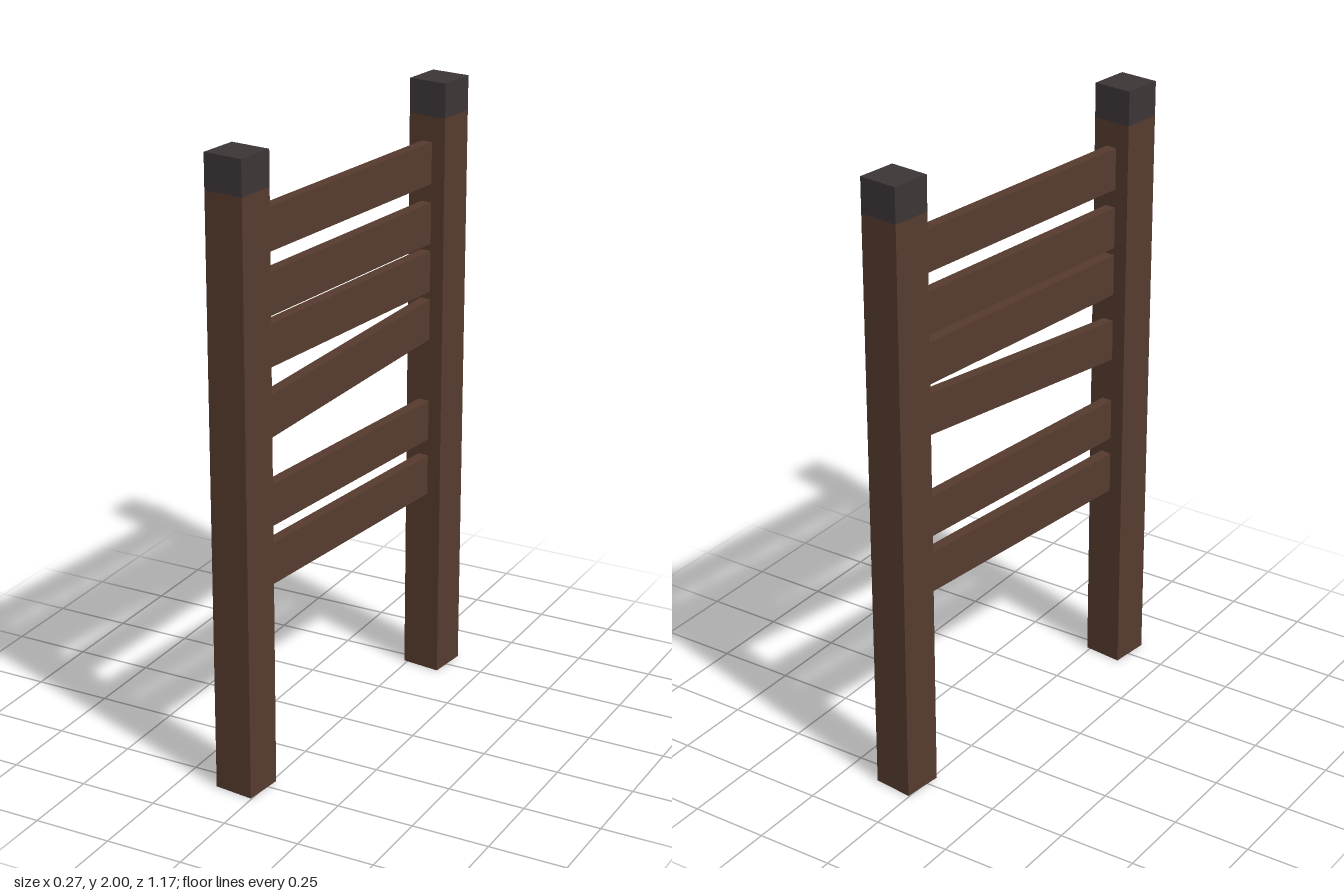
import * as THREE from 'three';

const POST = 0.13;      // post width
const SPAN = 0.518;     // post distance from the centre
const CAP_Y = 1.89;     // where the dark post tops begin

export function createModel() {
  const wood = new THREE.MeshStandardMaterial({ color: 0x563b2e, side: THREE.DoubleSide });
  wood.name = 'brownWood';
  const dark = new THREE.MeshStandardMaterial({ color: 0x3c3536, side: THREE.DoubleSide });
  dark.name = 'darkCap';

  const group = new THREE.Group();
  group.name = 'fence';

  const add = (name, geometry, material, y, z) => {
    const mesh = new THREE.Mesh(geometry, material);
    mesh.name = name;
    mesh.position.set(0, y, z);
    group.add(mesh);
    return mesh;
  };

  // Box without the chosen faces (order: +x, -x, +y, -y, +z, -z)
  const openBox = (w, h, d, removed) => {
    const geometry = new THREE.BoxGeometry(w, h, d);
    const index = Array.from(geometry.index.array);
    geometry.setIndex(index.filter((_, i) => !removed.includes(Math.floor(i / 6))));
    geometry.clearGroups();
    return geometry;
  };

  // Hollow posts, open at the foot, with dark tops
  for (const [side, z] of [['front', SPAN], ['back', -SPAN]]) {
    add(side + 'Post', openBox(POST, CAP_Y, POST, [2, 3]), wood, CAP_Y / 2, z);
    add(side + 'PostCap', openBox(POST, 2 - CAP_Y, POST, [3]), dark, (2 + CAP_Y) / 2, z);
  }

  // Rails: centre height and tilt; one has slipped
  const rails = [[0.697, 0], [0.887, 0], [1.198, 0.07], [1.39, 0], [1.548, 0], [1.742, 0]];
  rails.forEach(([y, tilt], i) => {
    const rail = add('rail' + (i + 1), new THREE.BoxGeometry(0.036, 0.134, 0.92), wood, y, 0);
    rail.rotation.x = tilt;
  });

  // The whole fence stands slightly turned
  group.rotation.y = -0.117;
  const model = new THREE.Group();
  model.name = 'fenceSection';
  model.add(group);
  return model;
}
